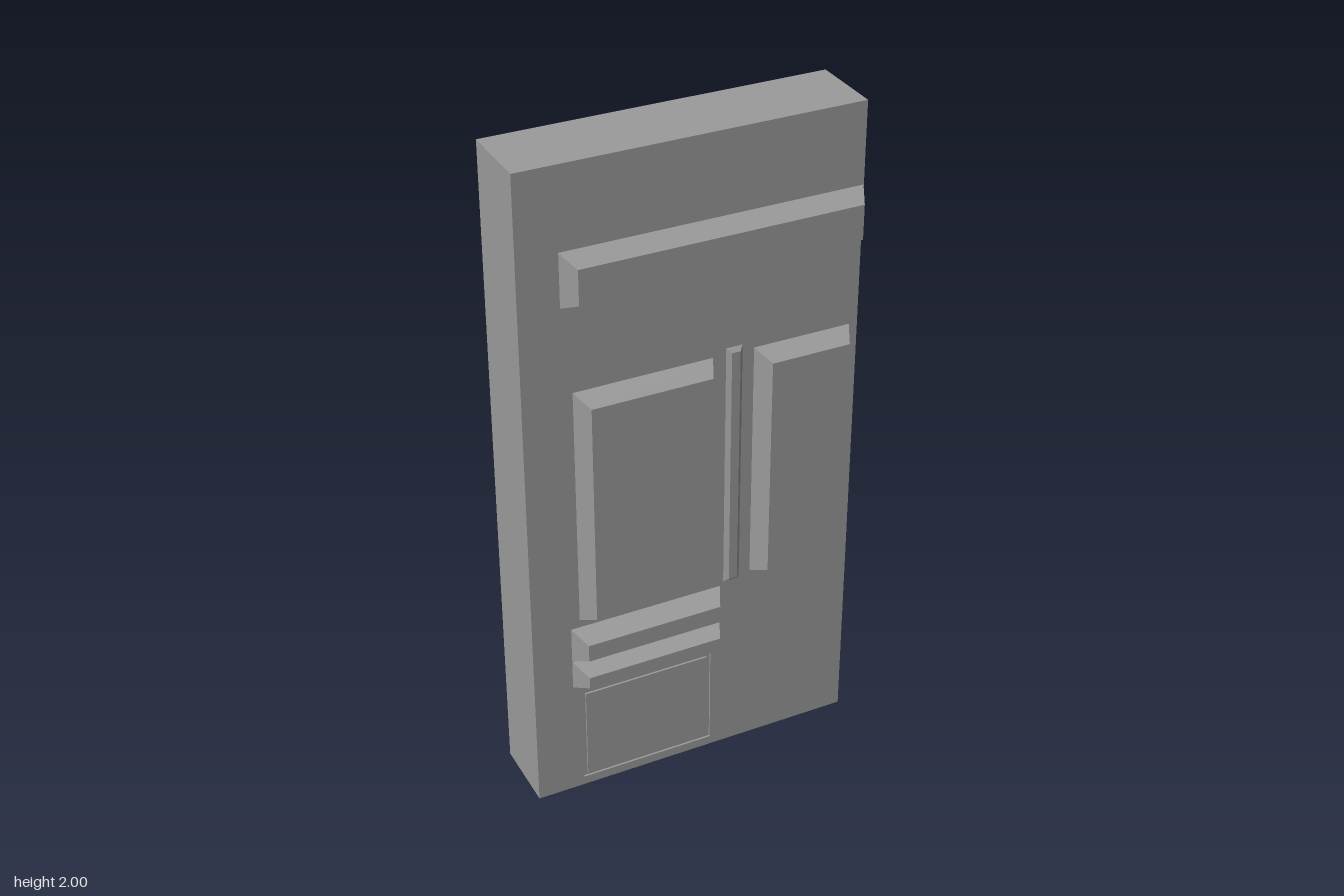
import * as THREE from 'three';

const FACE = 0.083, BACK = -0.14, RAISED = 0.14;
const material = new THREE.MeshStandardMaterial({ color: 0x9b9b9b, flatShading: true, side: THREE.DoubleSide });

// Panels: outer rectangle x0, x1, y0, y1, bevel width, and depth of the flat field
const PANELS = [
  { name: 'topPanel', rect: [-0.382, 0.499, 1.6, 1.759], bevel: 0.028, z: RAISED },
  { name: 'rightTallPanel', rect: [-0.355, 0.056, 0.604, 1.343], bevel: 0.028, z: RAISED },
  { name: 'leftTallPanel', rect: [0.18, 0.474, 0.604, 1.343], bevel: 0.028, z: RAISED },
  { name: 'centreStrip', rect: [0.095, 0.145, 0.59, 1.362], bevel: 0.012, z: FACE + 0.012 },
  { name: 'upperRail', rect: [-0.382, 0.085, 0.468, 0.578], bevel: 0.028, z: RAISED },
  { name: 'lowerRail', rect: [-0.382, 0.085, 0.372, 0.464], bevel: 0.028, z: RAISED },
];

// Bottom panel: a shallow square-cut groove around a flat field
const GROOVED = { rect: [-0.355, 0.056, 0.028, 0.345], width: 0.012, z: FACE - 0.006 };

const corners = ([x0, x1, y0, y1], inset = 0) => [
  [x0 + inset, y0 + inset], [x1 - inset, y0 + inset],
  [x1 - inset, y1 - inset], [x0 + inset, y1 - inset],
];

function add(group, name, geometry) {
  const mesh = new THREE.Mesh(geometry, material);
  mesh.name = name;
  group.add(mesh);
  return mesh;
}

// Four-sided walls stepping through [rectangle, z] rings, with an optional flat field at the end
function tray(rings, field) {
  const points = rings.flatMap(([rect, z]) => rect.map(([x, y]) => [x, y, z]));
  const index = [];
  const last = 4 * (rings.length - 1);
  for (let k = 0; k < last; k += 4) {
    for (let i = 0; i < 4; i++) {
      const a = k + i, b = k + (i + 1) % 4;
      index.push(a, b, b + 4, a, b + 4, a + 4);
    }
  }
  if (field) index.push(last, last + 1, last + 2, last, last + 2, last + 3);
  const indexed = new THREE.BufferGeometry();
  indexed.setAttribute('position', new THREE.Float32BufferAttribute(points.flat(), 3));
  indexed.setIndex(index);
  const geometry = indexed.toNonIndexed();
  geometry.computeVertexNormals();
  return geometry;
}

const toVectors = (list) => list.map(([x, y]) => new THREE.Vector2(x, y));

export function createModel() {
  const door = new THREE.Group();
  door.name = 'door';

  // Open-backed casing: sides, top and bottom
  const outline = corners([-0.5, 0.5, 0, 2]);
  add(door, 'casing', tray([[outline, BACK], [outline, FACE]], false));

  // Front sheet, cut out behind every panel
  const sheet = new THREE.Shape(toVectors(outline));
  for (const { rect } of [...PANELS, GROOVED]) {
    sheet.holes.push(new THREE.Path(toVectors(corners(rect).reverse())));
  }
  add(door, 'frontSheet', new THREE.ShapeGeometry(sheet)).position.z = FACE;

  // Pressed panels, hollow from behind
  for (const { name, rect, bevel, z } of PANELS) {
    add(door, name, tray([[corners(rect), FACE], [corners(rect, bevel), z]], true));
  }

  // Grooved bottom panel
  const outer = corners(GROOVED.rect), inner = corners(GROOVED.rect, GROOVED.width);
  add(door, 'bottomPanel', tray([[outer, FACE], [outer, GROOVED.z], [inner, GROOVED.z], [inner, FACE]], true));
  return door;
}
